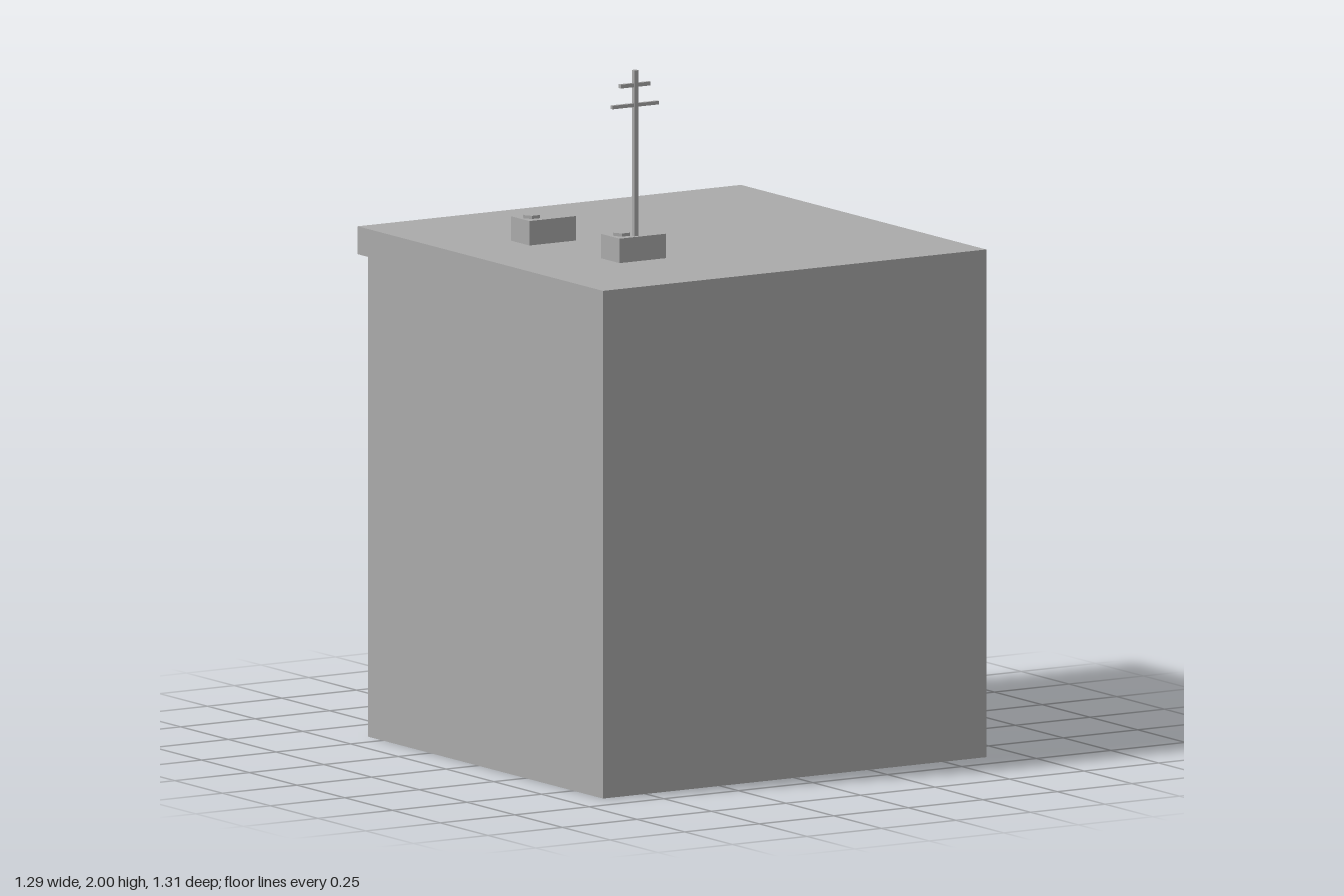
import * as THREE from 'three';

export function createModel() {
  const model = new THREE.Group();
  model.name = 'building';
  const grey = new THREE.MeshStandardMaterial({ color: 0xaaaaaa });
  grey.name = 'plain grey';

  const add = (name, geometry, material = grey) => {
    const mesh = new THREE.Mesh(geometry, material);
    mesh.name = name;
    model.add(mesh);
    return mesh;
  };
  // Box given by its limits on each axis
  const box = (name, x0, x1, y0, y1, z0, z1) =>
    add(name, new THREE.BoxGeometry(x1 - x0, y1 - y0, z1 - z0))
      .position.set((x0 + x1) / 2, (y0 + y1) / 2, (z0 + z1) / 2);
  const rectangle = (Type, x0, x1, y0, y1) => new Type([
    new THREE.Vector2(x0, y0), new THREE.Vector2(x1, y0),
    new THREE.Vector2(x1, y1), new THREE.Vector2(x0, y1)]);
  // Flat sheet with rectangular openings, from z0 towards +z
  const sheet = (name, shape, z0, depth) =>
    add(name, new THREE.ExtrudeGeometry(shape, { depth, bevelEnabled: false }))
      .position.set(0, 0, z0);

  // Main block, cornice and corner pilasters
  const inner = -0.475, wall = -0.515;
  box('mainBlock', -0.643, 0.643, 0, 1.455, inner, 0.655);
  box('cornice', -0.643, 0.643, 1.375, 1.455, -0.63, inner);
  for (const side of [-1, 1]) {
    const edges = [side * 0.525, side * 0.643].sort((a, b) => a - b);
    box(side > 0 ? 'leftPilaster' : 'rightPilaster', ...edges, 0, 1.375, -0.575, inner);
  }

  // Facade wall with a door notch and five window openings
  const facade = new THREE.Shape([
    [-0.525, 0], [-0.4, 0], [-0.4, 0.388], [-0.125, 0.388], [-0.125, 0],
    [0.525, 0], [0.525, 1.375], [-0.525, 1.375],
  ].map(([x, y]) => new THREE.Vector2(x, y)));
  const windows = [];
  for (let floor = 0; floor < 3; floor++) {
    for (const side of [-1, 1]) {
      if (floor === 0 && side < 0) continue;
      const x = side * 0.2625, y = 0.118 + floor * 0.43;
      windows.push([x - 0.138, x + 0.138, y, y + 0.27]);
    }
  }
  for (const w of windows) facade.holes.push(rectangle(THREE.Path, ...w));
  sheet('facadeWall', facade, wall, inner - wall);

  // Window frames set into the openings
  for (const [x0, x1, y0, y1] of windows) {
    const frame = rectangle(THREE.Shape, x0, x1, y0, y1);
    const t = 0.016;
    frame.holes.push(rectangle(THREE.Path, x0 + t, x1 - t, y0 + t, y1 - t));
    sheet('windowFrame', frame, wall + 0.012, 0.028);
  }

  // Door, shop counter and low step
  box('door', -0.4, -0.125, 0, 0.388, wall + 0.02, inner);
  box('shopCounter', 0.136, 0.385, 0.134, 0.15, wall + 0.008, inner);
  box('shopPanel', 0.19, 0.32, 0.15, 0.235, wall + 0.008, inner);
  box('step', 0.125, 0.4, 0.015, 0.06, -0.53, wall);

  // Awning: a sloping sheet with a hanging valance
  const profile = [[0.335, wall], [0.275, -0.653], [0.25, -0.653]];
  const corners = profile.flatMap(([y, z]) => [0.125, y, z, 0.398, y, z]);
  const awning = new THREE.BufferGeometry();
  awning.setAttribute('position', new THREE.Float32BufferAttribute(corners, 3));
  awning.setIndex([0, 1, 2, 1, 3, 2, 2, 3, 4, 3, 5, 4]);
  const flat = awning.toNonIndexed();
  flat.computeVertexNormals();
  const cloth = grey.clone();
  cloth.side = THREE.DoubleSide;
  add('awning', flat, cloth);

  // Roof units with six-sided caps
  for (const [x, z] of [[-0.275, 0.24], [-0.33, -0.146]]) {
    box('roofUnit', x - 0.078, x + 0.078, 1.455, 1.525, z - 0.049, z + 0.049);
    const cap = new THREE.CylinderGeometry(0.027, 0.027, 0.009, 6).toNonIndexed();
    cap.rotateY(Math.PI / 6 + Math.PI / 3);
    cap.computeVertexNormals();
    add('roofUnitCap', cap).position.set(x - 0.04, 1.5295, z);
  }

  // Aerial
  box('aerialPole', -0.296, -0.282, 1.525, 2, 0.264, 0.278);
  box('aerialLowerBar', -0.368, -0.212, 1.895, 1.905, 0.264, 0.275);
  box('aerialUpperBar', -0.34, -0.24, 1.952, 1.963, 0.264, 0.275);

  return model;
}
